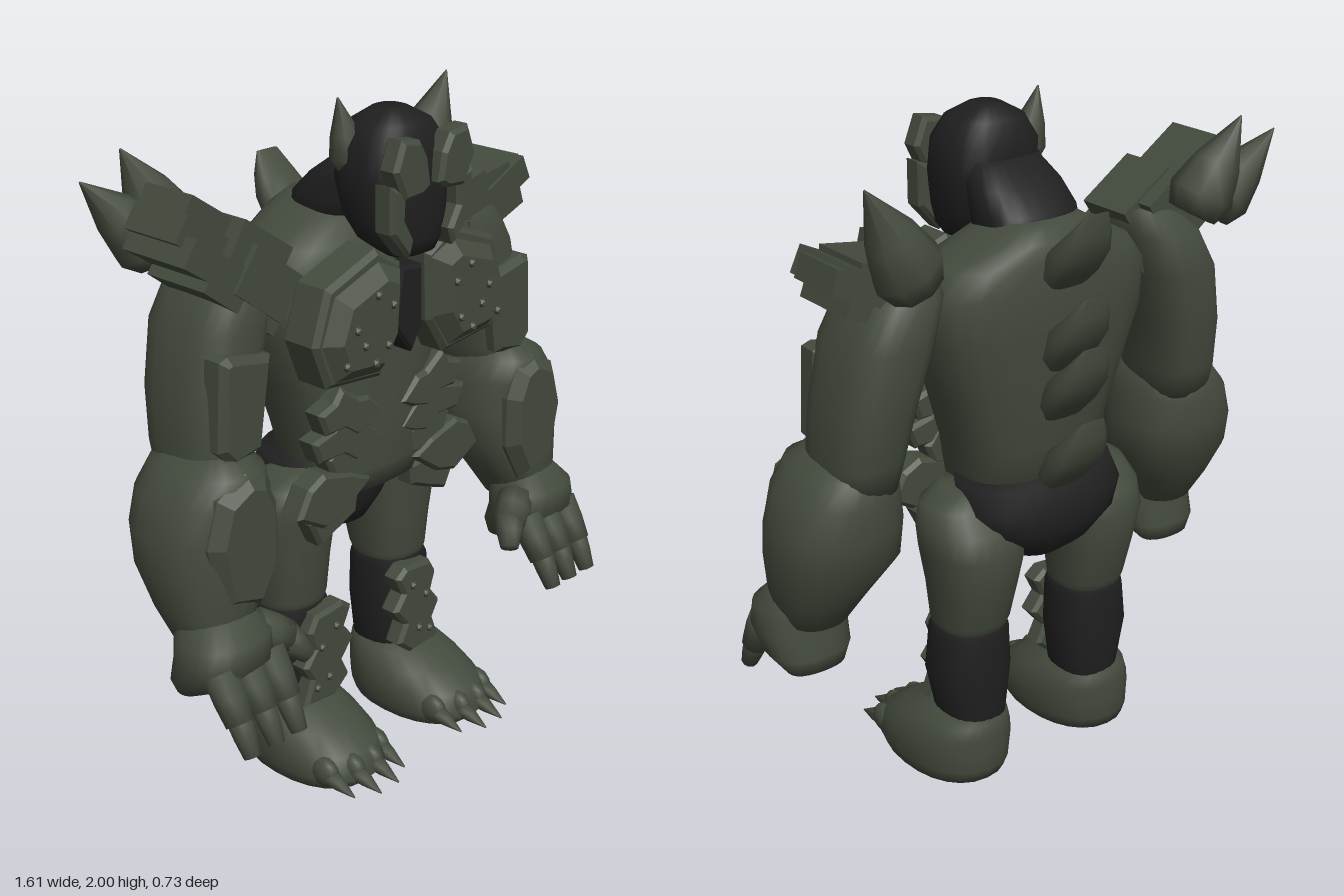
import * as THREE from 'three';

const green = new THREE.MeshStandardMaterial({ color: 0x434a3d });
green.name = 'mossy stone';
const black = new THREE.MeshStandardMaterial({ color: 0x1f1f20 });
black.name = 'charcoal';

export function createModel() {
  const model = new THREE.Group();
  model.name = 'armouredBrute';

  const add = (name, geo, mat = green) => {
    const mesh = new THREE.Mesh(geo, mat);
    mesh.name = name;
    model.add(mesh);
    return mesh;
  };

  // Smooth body from horizontal rings, bottom to top: [x, y, z, rx, rz]
  const loft = (name, rings, mat, s = 1, square = 0.85, n = 24) => {
    const pos = [], idx = [];
    const bend = v => Math.sign(v) * Math.abs(v) ** square;
    for (const [x, y, z, rx, rz] of rings)
      for (let j = 0; j < n; j++) {
        const t = j / n * Math.PI * 2;
        pos.push(x * s + rx * bend(Math.cos(t)), y, z + rz * bend(Math.sin(t)));
      }
    const last = rings.length - 1, low = rings.length * n;
    for (const r of [rings[0], rings[last]]) pos.push(r[0] * s, r[1], r[2]);
    for (let j = 0; j < n; j++) {
      const k = (j + 1) % n;
      for (let i = 0; i < last; i++) {
        const a = i * n + j, b = i * n + k;
        idx.push(a, a + n, b, b, a + n, b + n);
      }
      idx.push(low, j, k, low + 1, last * n + k, last * n + j);
    }
    const geo = new THREE.BufferGeometry();
    geo.setAttribute('position', new THREE.Float32BufferAttribute(pos, 3));
    geo.setIndex(idx);
    geo.computeVertexNormals();
    return add(name, geo, mat);
  };

  // Lathed segment from point a to point b; profile is [radius, fraction of length]
  const between = (name, a, b, profile, flat = 1, sides = 10) => {
    const p = new THREE.Vector3(...a), d = new THREE.Vector3(...b).sub(p), len = d.length();
    const geo = new THREE.LatheGeometry(profile.map(([r, t]) => new THREE.Vector2(r, t * len)), sides);
    geo.scale(1, 1, flat);
    const mesh = add(name, geo);
    mesh.position.copy(p);
    mesh.quaternion.setFromUnitVectors(new THREE.Vector3(0, 1, 0), d.normalize());
  };
  const finger = (name, a, b, r1, r2) =>
    between(name, a, b, [[0, 0], [r1, 0.02], [(r1 + r2) * 0.53, 0.5], [r2, 0.96], [0, 1]]);
  const spike = (name, a, b, r, flat = 0.85) =>
    between(name, a, b, [[0, 0], [r * 0.75, 0], [r, 0.2], [r * 0.72, 0.52], [0.002, 1]], flat, 8);

  // Bevelled polygon plate facing the front
  const plate = (name, pts, s, z, depth, bevel = 0.012, mat = green) => {
    const shape = new THREE.Shape(pts.map(([x, y]) => new THREE.Vector2(x * s, y)));
    const geo = new THREE.ExtrudeGeometry(shape, {
      depth, bevelEnabled: true, bevelSize: bevel, bevelThickness: bevel, bevelOffset: -bevel, bevelSegments: 1,
    });
    geo.translate(0, 0, z);
    return add(name, geo, mat);
  };

  // Torso, pelvis, neck and head
  loft('torso', [
    [0, 0.86, 0.01, 0.19, 0.12], [0, 0.93, -0.02, 0.215, 0.17], [0, 1.05, -0.035, 0.24, 0.18],
    [0, 1.2, -0.045, 0.29, 0.19], [0, 1.4, -0.06, 0.36, 0.195], [0, 1.53, -0.065, 0.365, 0.19],
    [0, 1.6, -0.07, 0.31, 0.175], [0, 1.66, -0.09, 0.19, 0.15], [0, 1.7, -0.1, 0.12, 0.1],
  ], green, 1, 0.75);
  loft('pelvis', [
    [0, 0.69, -0.09, 0.09, 0.09], [0, 0.74, -0.11, 0.16, 0.13], [0, 0.81, -0.115, 0.25, 0.155],
    [0, 0.88, -0.115, 0.27, 0.158], [0, 0.95, -0.095, 0.25, 0.15],
  ], black);
  loft('neck', [
    [0, 1.62, -0.07, 0.15, 0.12], [0, 1.71, -0.045, 0.148, 0.115], [0, 1.77, -0.005, 0.138, 0.09], [0, 1.83, 0.05, 0.11, 0.06],
  ], black, 1, 0.75);
  loft('head', [
    [0, 1.58, 0.2, 0.08, 0.05], [0, 1.62, 0.165, 0.12, 0.095], [0, 1.68, 0.145, 0.14, 0.12],
    [0, 1.78, 0.132, 0.155, 0.132], [0, 1.87, 0.128, 0.148, 0.127], [0, 1.93, 0.128, 0.108, 0.098], [0, 1.965, 0.125, 0.045, 0.045],
  ], black, 1, 0.75);
  spike('headHorn', [-0.1, 1.8, 0.08], [-0.14, 2, 0.066], 0.055, 1);
  plate('throatPlate', [[-0.04, 1.54], [0.05, 1.53], [0.055, 1.36], [0.01, 1.28], [-0.065, 1.37]], 1, 0.12, 0.08, 0.01, black);

  // Hooked fins down the spine
  for (const y of [1.76, 1.53, 1.385, 1.17])
    loft('spineFin', [
      [0, y - 0.24, -0.225, 0.06, 0.02], [0, y - 0.19, -0.245, 0.09, 0.045], [0, y - 0.12, -0.285, 0.085, 0.062],
      [0, y - 0.06, -0.325, 0.068, 0.034], [0, y, -0.356, 0.04, 0.004],
    ], green, 1, 0.7, 12);

  for (const s of [-1, 1]) {
    // Face mask
    plate('browPlate', [[0.015, 1.78], [0.03, 1.86], [0.06, 1.91], [0.13, 1.92], [0.162, 1.84], [0.12, 1.755], [0.05, 1.76]], s, 0.24, 0.045);
    plate('cheekPlate', [[0.162, 1.8], [0.162, 1.67], [0.09, 1.59], [0.07, 1.64], [0.105, 1.7], [0.1, 1.78]], s, 0.225, 0.05);

    // Chest armour with a raised face
    plate('chestPlate', [[0.05, 1.56], [0.15, 1.62], [0.34, 1.55], [0.39, 1.4], [0.34, 1.27], [0.13, 1.25], [0.06, 1.36]], s, 0.11, 0.1, 0.015);
    plate('chestFace', [[0.06, 1.55], [0.15, 1.59], [0.32, 1.53], [0.37, 1.4], [0.32, 1.28], [0.14, 1.265], [0.07, 1.37]], s, 0.17, 0.05, 0.045);
    for (const [x, y] of [[0.15, 1.36], [0.2, 1.32], [0.27, 1.43], [0.13, 1.47], [0.24, 1.38], [0.19, 1.51], [0.31, 1.34]])
      add('chestPebble', new THREE.IcosahedronGeometry(0.014, 0)).position.set(x * s, y, 0.265);

    // Ragged belly shards and hip plates
    [[1.17, 0.3], [1.09, 0.32], [1.02, 0.26]].forEach(([y, w], i) => plate('bellyShard', [
      [0.03, y - 0.07], [0.1, y - 0.005], [0.14, y], [0.21, y + 0.05], [0.24, y + 0.01],
      [w, y - 0.01], [w - 0.03, y - 0.08], [0.2, y - 0.08], [0.15, y - 0.115], [0.09, y - 0.1],
    ], s, 0.09 - i * 0.005, 0.05));
    plate('hipPlate', [[0.09, 0.91], [0.17, 0.95], [0.28, 0.98], [0.34, 0.95], [0.385, 0.87], [0.28, 0.81], [0.2, 0.83]], s, 0.08, 0.06);
    plate('hipShard', [[0.11, 0.87], [0.25, 0.89], [0.31, 0.82], [0.27, 0.74], [0.19, 0.77], [0.12, 0.8]], s, 0.06, 0.05);

    // Leg
    loft('calf', [
      [0.22, 0.12, -0.07, 0.09, 0.1], [0.22, 0.22, -0.07, 0.1, 0.11], [0.225, 0.35, -0.07, 0.125, 0.115], [0.22, 0.48, -0.07, 0.112, 0.115], [0.22, 0.51, -0.07, 0.1, 0.1],
    ], black, s);
    loft('thigh', [
      [0.22, 0.47, -0.07, 0.095, 0.095], [0.22, 0.52, -0.075, 0.11, 0.115], [0.22, 0.64, -0.085, 0.125, 0.135],
      [0.22, 0.76, -0.09, 0.148, 0.15], [0.22, 0.83, -0.075, 0.15, 0.14], [0.22, 0.89, -0.05, 0.125, 0.11], [0.2, 0.93, -0.04, 0.07, 0.08],
    ], green, s);
    plate('shinPlate', [
      [0.14, 0.5], [0.25, 0.49], [0.28, 0.44], [0.26, 0.38], [0.3, 0.33], [0.27, 0.28], [0.3, 0.2],
      [0.17, 0.19], [0.11, 0.24], [0.14, 0.3], [0.09, 0.36], [0.13, 0.41], [0.1, 0.47],
    ], s, 0.025, 0.045);
    for (const [x, y] of [[0.17, 0.43], [0.23, 0.38], [0.2, 0.27], [0.25, 0.25]])
      add('shinPebble', new THREE.IcosahedronGeometry(0.014, 0)).position.set(x * s, y, 0.082);

    // Foot with four clawed toes
    loft('foot', [
      [0.238, 0, 0.04, 0.15, 0.22], [0.236, 0.04, 0.05, 0.162, 0.245], [0.235, 0.1, 0.03, 0.164, 0.226],
      [0.233, 0.15, -0.01, 0.148, 0.185], [0.232, 0.19, -0.05, 0.125, 0.14], [0.23, 0.215, -0.07, 0.085, 0.095],
    ], green, s, 0.9);
    [0.13, 0.2, 0.275, 0.345].forEach((x, i) => {
      const z = i % 3 ? 0.24 : 0.2;
      const toe = add('toe', new THREE.SphereGeometry(0.036, 12, 8));
      toe.scale.set(0.9, 1.3, 1.5);
      toe.position.set(x * s, 0.06, z);
      spike('toeClaw', [x * s, 0.06, z], [x * s, 0.025, z + 0.125], 0.028, 1);
    });

    // Arm
    loft('upperArm', [
      [0.575, 1.03, -0.03, 0.1, 0.13], [0.57, 1.12, -0.035, 0.11, 0.15], [0.55, 1.27, -0.05, 0.12, 0.16],
      [0.505, 1.45, -0.06, 0.13, 0.165], [0.455, 1.57, -0.06, 0.115, 0.15], [0.42, 1.64, -0.06, 0.07, 0.09],
    ], green, s, 0.75);
    plate('upperArmPlate', [[0.45, 1.38], [0.6, 1.41], [0.63, 1.4], [0.645, 1.15], [0.6, 1.1], [0.49, 1.12]], s, 0.06, 0.055, 0.02);
    loft('forearm', [
      [0.66, 0.6, 0.08, 0.09, 0.1], [0.65, 0.7, 0.055, 0.135, 0.14], [0.622, 0.82, 0.02, 0.185, 0.178],
      [0.62, 0.92, 0.01, 0.185, 0.185], [0.61, 1.02, 0.01, 0.165, 0.183], [0.595, 1.09, 0.015, 0.125, 0.168], [0.59, 1.13, 0.01, 0.07, 0.1],
    ], green, s);
    plate('forearmPlate', [[0.53, 1.07], [0.6, 1.1], [0.7, 1.05], [0.74, 0.92], [0.7, 0.73], [0.56, 0.69], [0.49, 0.82], [0.49, 0.98]], s, 0.12, 0.05, 0.035);

    // Hand with three fingers and a thumb
    loft('hand', [
      [0.67, 0.45, 0.06, 0.09, 0.05], [0.67, 0.5, 0.1, 0.125, 0.1], [0.67, 0.57, 0.14, 0.137, 0.12],
      [0.665, 0.64, 0.135, 0.135, 0.115], [0.66, 0.7, 0.11, 0.09, 0.08],
    ], green, s);
    for (const x of [0.565, 0.65, 0.74]) {
      finger('finger', [x * s, 0.57, 0.2], [x * s, 0.44, 0.28], 0.05, 0.042);
      finger('fingerTip', [x * s, 0.47, 0.265], [x * s, 0.355, 0.325], 0.038, 0.025);
    }
    finger('thumb', [0.57 * s, 0.62, 0.16], [0.48 * s, 0.57, 0.2], 0.06, 0.05);
    finger('thumbTip', [0.5 * s, 0.585, 0.19], [0.44 * s, 0.51, 0.24], 0.05, 0.028);
  }

  // Overlapping shoulder slabs: [length, thickness, depth, x, y, z, tilt]
  const slabs = [
    [0.25, 0.1, 0.2, 0.47, 1.62, -0.03, 0.15], [0.28, 0.08, 0.24, 0.53, 1.6, -0.04, 0.45], [0.22, 0.07, 0.18, 0.57, 1.625, -0.05, 0.3],
    [0.24, 0.08, 0.22, 0.52, 1.55, -0.03, 0.35], [0.11, 0.11, 0.16, 0.4, 1.63, 0.02, 0.25],
    [0.3, 0.1, 0.22, -0.5, 1.54, -0.02, -0.65], [0.36, 0.08, 0.24, -0.54, 1.6, -0.03, -0.6], [0.34, 0.08, 0.2, -0.54, 1.66, -0.05, -0.6],
    [0.3, 0.08, 0.18, -0.52, 1.71, -0.06, -0.6], [0.2, 0.14, 0.18, -0.43, 1.56, 0.01, -0.65], [0.2, 0.12, 0.18, -0.44, 1.64, -0.01, -0.6],
  ];
  for (const [len, thick, depth, x, y, z, tilt] of slabs) {
    const slab = add('shoulderSlab', new THREE.BoxGeometry(len, thick, depth));
    slab.position.set(x, y, z);
    slab.rotation.z = tilt;
  }

  // Shoulder spikes
  spike('leftShoulderSpike', [0.47, 1.62, -0.205], [0.635, 1.91, -0.225], 0.105);
  spike('rightInnerSpike', [-0.49, 1.63, -0.2], [-0.63, 1.9, -0.24], 0.105);
  spike('rightOuterSpike', [-0.57, 1.62, -0.19], [-0.77, 1.84, -0.235], 0.095);

  return model;
}
